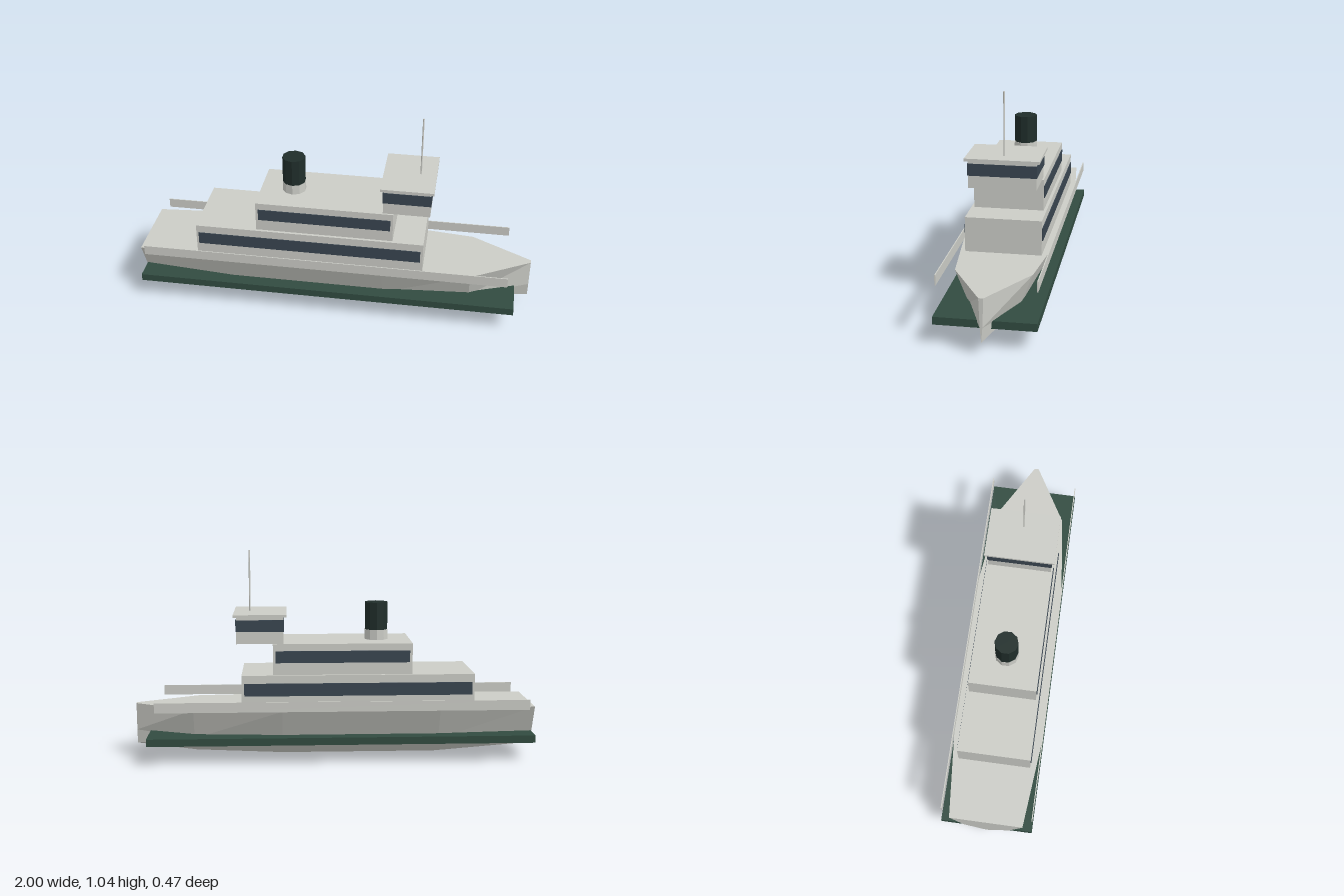
import * as THREE from 'three';

function material(name, color) {
  const m = new THREE.MeshStandardMaterial({ color });
  m.name = name;
  return m;
}

export function createModel() {
  const ship = new THREE.Group();
  ship.name = 'passengerShip';
  const paint = material('pale grey paint', 0xcbccc6);
  const green = material('deep green', 0x314b40);
  const dark = material('funnel black green', 0x1f2d2a);
  const glass = material('window slate', 0x394550);

  function add(name, geometry, mat) {
    const mesh = new THREE.Mesh(geometry, mat);
    mesh.name = name;
    ship.add(mesh);
    return mesh;
  }
  // Box given by its x and y ranges, depth and z centre
  function box(name, x0, x1, y0, y1, depth, mat, z = 0) {
    const mesh = add(name, new THREE.BoxGeometry(x1 - x0, y1 - y0, depth), mat);
    mesh.position.set((x0 + x1) / 2, (y0 + y1) / 2, z);
  }
  function cylinder(name, x, y0, y1, rTop, rBottom, sides, mat) {
    const geo = new THREE.CylinderGeometry(rTop, rBottom, y1 - y0, sides).toNonIndexed();
    geo.computeVertexNormals();
    add(name, geo, mat).position.set(x, (y0 + y1) / 2, 0);
  }

  // Hull: faceted V sections from stern to bow
  // [x, half width at deck, deck y, half width at chine, chine y, keel y]
  const sections = [
    [-1.0, 0.185, 0.268, 0.118, 0.12, 0.038],
    [-0.52, 0.23, 0.264, 0.15, 0.1, 0],
    [0.26, 0.23, 0.264, 0.15, 0.1, 0],
    [0.7, 0.18, 0.266, 0.118, 0.108, 0.02],
    [1.0, 0.011, 0.268, 0.006, 0.13, 0.06],
  ].map(([x, w, d, c, h, k]) => [[x, d, w], [x, h, c], [x, k, 0], [x, h, -c], [x, d, -w]]);
  const points = [];
  for (let i = 0; i < sections.length - 1; i++) {
    const a = sections[i], b = sections[i + 1];
    for (let j = 0; j < 5; j++) {
      const n = (j + 1) % 5;
      points.push(a[j], a[n], b[j], a[n], b[n], b[j]);
    }
  }
  const stern = sections[0], bow = sections[sections.length - 1];
  for (let j = 1; j < 4; j++) {
    points.push(stern[0], stern[j + 1], stern[j], bow[0], bow[j], bow[j + 1]);
  }
  const hull = new THREE.BufferGeometry();
  hull.setAttribute('position', new THREE.Float32BufferAttribute(points.flat(), 3));
  hull.computeVertexNormals();
  add('hull', hull, paint);

  // Waterline belt
  box('waterlineBelt', -0.995, 0.928, 0.095, 0.132, 0.468, green);

  // Stacked deckhouses
  box('lowerDeckhouse', -0.695, 0.46, 0.262, 0.436, 0.368, paint);
  box('upperDeckhouse', -0.385, 0.305, 0.436, 0.59, 0.34, paint);

  // Side rails and window strips, mirrored
  for (const side of [1, -1]) {
    const s = side > 0 ? 'Front' : 'Back';
    box('rail' + s, -0.965, 0.885, 0.262, 0.312, 0.005, paint, side * 0.228);
    box('lowerWindows' + s, -0.683, 0.447, 0.333, 0.396, 0.006, glass, side * 0.185);
    box('upperWindows' + s, -0.372, 0.292, 0.496, 0.555, 0.006, glass, side * 0.171);
  }

  // Bridge with a wraparound window band and overhanging roof
  box('bridge', 0.252, 0.484, 0.59, 0.724, 0.322, paint);
  box('bridgeWindows', 0.249, 0.487, 0.65, 0.708, 0.328, glass);
  box('bridgeRoof', 0.237, 0.499, 0.722, 0.735, 0.354, paint);
  cylinder('mast', 0.42, 0.735, 1.04, 0.004, 0.004, 8, paint);

  // Funnel
  cylinder('funnelBase', -0.217, 0.588, 0.64, 0.059, 0.06, 10, paint);
  cylinder('funnel', -0.217, 0.638, 0.778, 0.058, 0.058, 10, dark);

  return ship;
}
